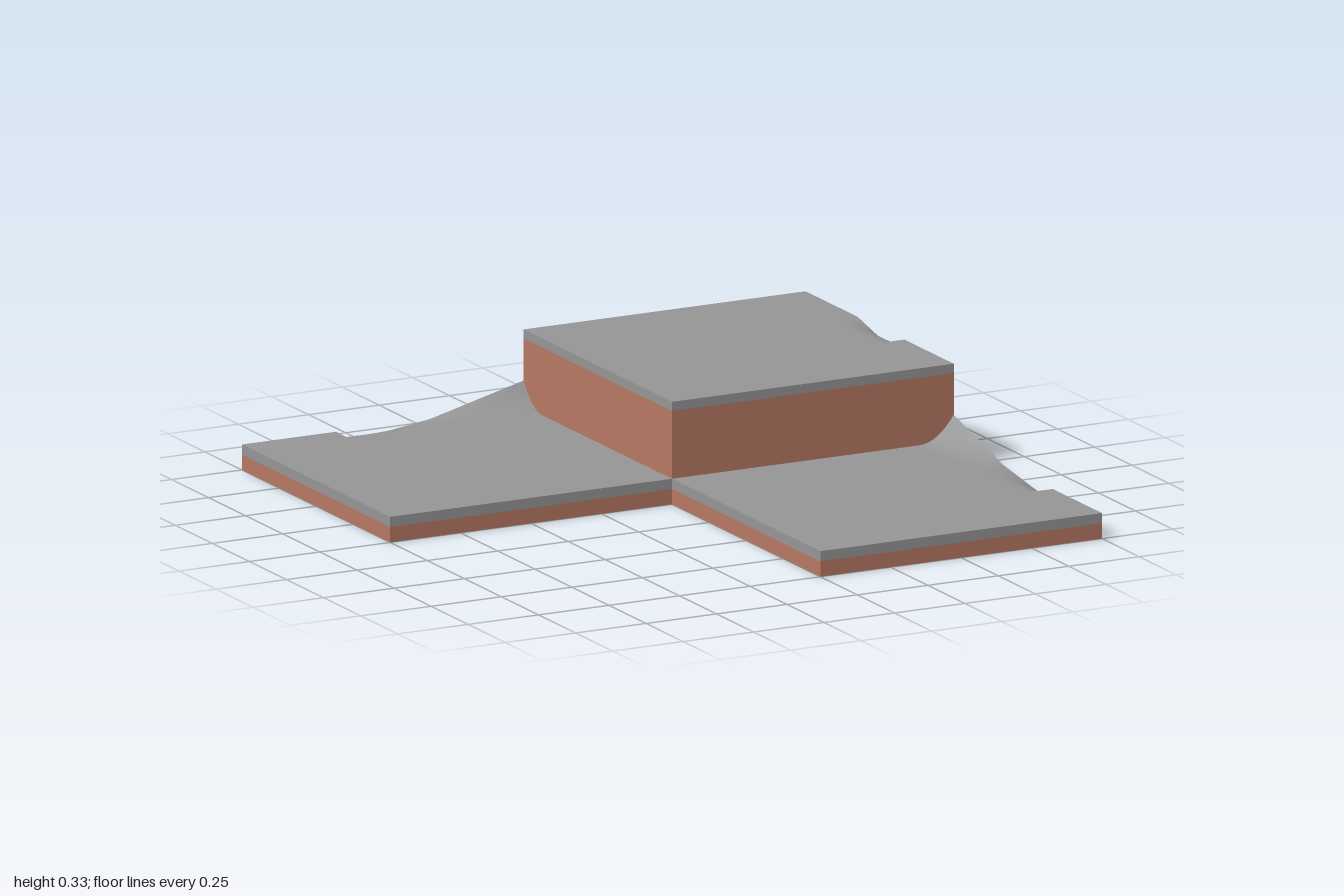
import * as THREE from 'three';

const LOW = 0.083, LOW_TRIM = 0.05, HIGH = 0.333, HIGH_TRIM = 0.303, NOTCH = 0.667;

export function createModel() {
  const stone = new THREE.MeshStandardMaterial({ color: 0x959595, side: THREE.DoubleSide });
  stone.name = 'grey stone';
  const clay = new THREE.MeshStandardMaterial({ color: 0xb67862, side: THREE.DoubleSide });
  clay.name = 'red clay';

  const model = new THREE.Group();
  model.name = 'steppedTiles';

  // Local frame: u runs along the ramped edge, t inward from it.
  const frontPlace = (u, y, t) => [1 - t, y, u];
  const backPlace = (u, y, t) => [-u, y, t - 1];

  const addMesh = (parent, name, material, geometry) => {
    geometry.computeVertexNormals();
    const mesh = new THREE.Mesh(geometry, material);
    mesh.name = name;
    parent.add(mesh);
  };

  // Flat panel: a 2D outline laid into space by a mapping
  const panel = (parent, name, material, points, map) => {
    const g = new THREE.ShapeGeometry(new THREE.Shape(points.map(p => new THREE.Vector2(...p))));
    const pos = g.attributes.position;
    for (let i = 0; i < pos.count; i++) pos.setXYZ(i, ...map(pos.getX(i), pos.getY(i)));
    addMesh(parent, name, material, g);
  };

  const rect = (a, b, y0, y1) => [[a, y0], [b, y0], [b, y1], [a, y1]];

  // Height at distance t from the edge, easing from the edge height to the flat top
  const ease = (edge, top, t, w) => top + (edge - top) * (1 - t / w) ** 2;

  // Curved strip joining the edge profile to the flat top
  const rampStrip = (parent, name, profile, top, width, place) => {
    const across = 8, along = 6, verts = [], index = [];
    const rows = [];
    profile.forEach(([u, y], i) => {
      if (i === 0) { rows.push([u, y]); return; }
      const [pu, py] = profile[i - 1];
      for (let k = 1; k <= along; k++) {
        const s = k / along;
        rows.push([pu + (u - pu) * s, py + (y - py) * s]);
      }
    });
    rows.forEach(([u, y], r) => {
      const w = width(u);
      for (let j = 0; j <= across; j++) {
        const t = (w * j) / across;
        verts.push(...place(u, ease(y, top, t, w), t));
        if (r && j) {
          const d = r * (across + 1) + j, c = d - 1, b = d - across - 1, a = b - 1;
          index.push(a, c, b, b, c, d);
        }
      }
    });
    const g = new THREE.BufferGeometry();
    g.setAttribute('position', new THREE.Float32BufferAttribute(verts, 3));
    g.setIndex(index);
    addMesh(parent, name, stone, g);
  };

  // Points of the eased curve, from the edge inward
  const curve = (edge, top, w) =>
    Array.from({ length: 9 }, (_, j) => [(w * j) / 8, ease(edge, top, (w * j) / 8, w)]);

  // Low tile with a ramp climbing its outer edge
  const lowTile = (name, place) => {
    const g = new THREE.Group();
    g.name = name;
    const width = u => 0.12 - (0.03 * u) / NOTCH;
    const profile = [[0, 0.167], [0.333, LOW], [0.58, LOW_TRIM], [NOTCH, LOW_TRIM]];
    const edge = (u, y) => place(u, y, 0);
    const inner = (u, y) => place(u, y, 1);
    const end = (t, y) => place(1, y, t);

    panel(g, 'top', stone, [[0, 1], [1, 1], [1, 0], [NOTCH, 0], [NOTCH, 0.09], [0, 0.12]],
      (u, t) => place(u, LOW, t));
    rampStrip(g, 'ramp', profile, LOW, width, place);
    panel(g, 'notchWall', stone, [...curve(LOW_TRIM, LOW, 0.09), [0, LOW]],
      (t, y) => place(NOTCH, y, t));
    panel(g, 'outerWall', clay, [[0, 0], [1, 0], [1, LOW_TRIM], ...profile.slice().reverse()], edge);
    panel(g, 'outerTrim', stone, rect(NOTCH, 1, LOW_TRIM, LOW), edge);
    for (const [side, map] of [['inner', inner], ['end', end]]) {
      panel(g, side + 'Wall', clay, rect(0, 1, 0, LOW_TRIM), map);
      panel(g, side + 'Trim', stone, rect(0, 1, LOW_TRIM, LOW), map);
    }
    // Riser up to the high tile, its foot following the ramp
    panel(g, 'riser', clay,
      [...curve(0.167, LOW, 0.12), [1, LOW], [1, HIGH_TRIM], [0, HIGH_TRIM]],
      (t, y) => place(0, y, t));
    panel(g, 'riserTrim', stone, rect(0, 1, HIGH_TRIM, HIGH), (t, y) => place(0, y, t));
    model.add(g);
  };
  lowTile('frontTile', frontPlace);
  lowTile('sideTile', backPlace);

  // High corner tile with one worn edge
  const high = new THREE.Group();
  high.name = 'highTile';
  const w = 0.09;
  const worn = [[-0.333, HIGH_TRIM], [-0.51, HIGH_TRIM], [-0.65, HIGH]];
  const sideEdge = (u, y) => frontPlace(u, y, 0);
  const backEdge = (u, y) => backPlace(u, y, 0);
  panel(high, 'top', stone,
    [[0, 0], [0, 1], [-1, 1], [-1, 0], [-0.65, 0], [-0.65, w], [-0.333, w], [-0.333, 0]],
    (u, t) => frontPlace(u, HIGH, t));
  rampStrip(high, 'ramp', worn, HIGH, () => w, frontPlace);
  panel(high, 'notchWall', stone, [...curve(HIGH_TRIM, HIGH, w), [0, HIGH]],
    (t, y) => frontPlace(-0.333, y, t));
  panel(high, 'sideWall', clay, rect(-1, 0, 0, HIGH_TRIM), sideEdge);
  panel(high, 'sideTrimFront', stone, rect(-0.333, 0, HIGH_TRIM, HIGH), sideEdge);
  panel(high, 'sideTrimBack', stone,
    [[-1, HIGH_TRIM], [-0.51, HIGH_TRIM], [-0.65, HIGH], [-1, HIGH]], sideEdge);
  panel(high, 'backWall', clay, rect(-1, 0, 0, HIGH_TRIM), backEdge);
  panel(high, 'backTrim', stone, rect(-1, 0, HIGH_TRIM, HIGH), backEdge);
  model.add(high);

  return model;
}
